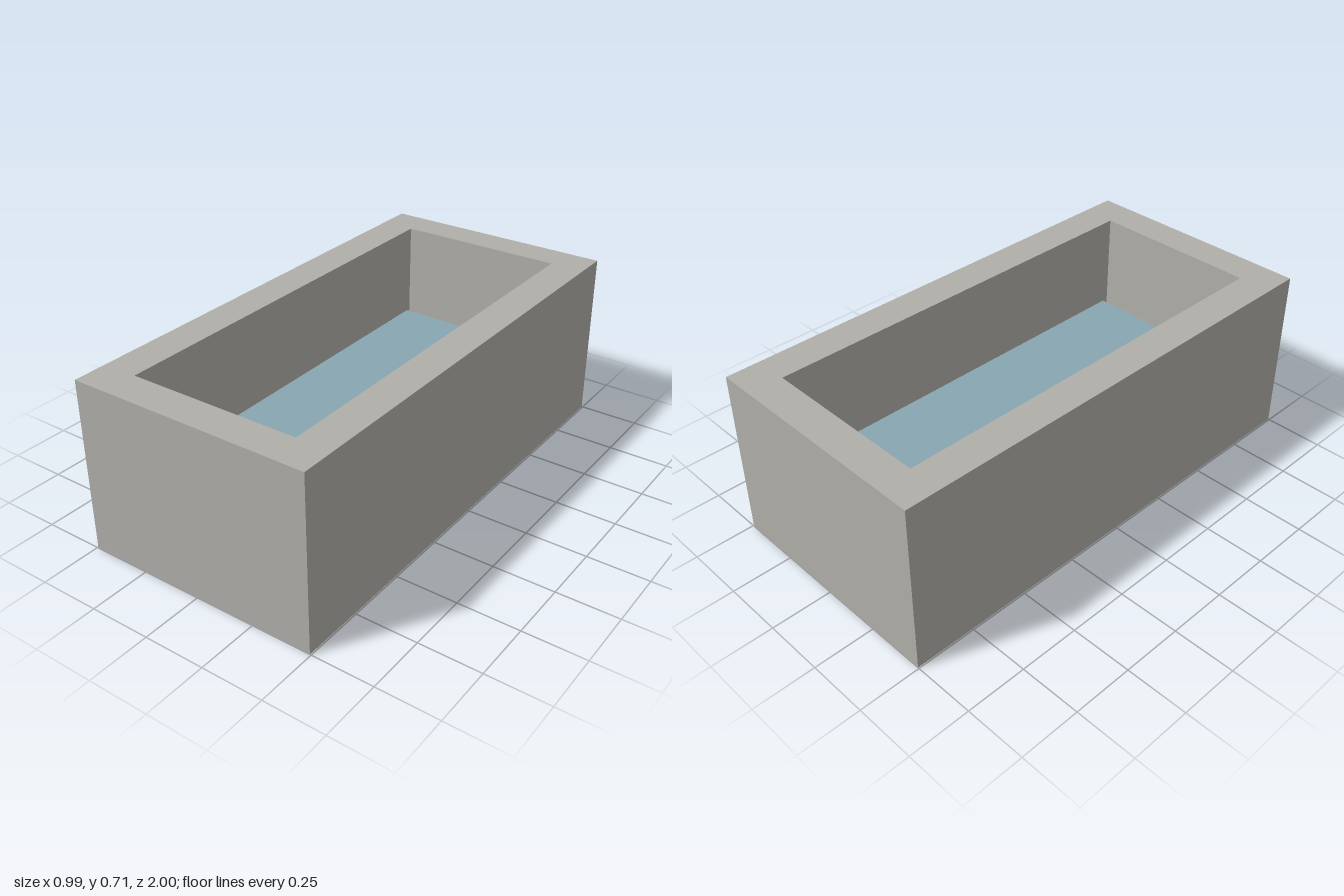
import * as THREE from 'three';

const WIDTH = 0.99, HEIGHT = 0.707, LENGTH = 2;
const OPEN_W = 0.704, OPEN_L = 1.72, FLOOR = 0.14;
const WATER_W = 0.684, WATER_L = 1.648, WATER_TOP = 0.32;

const stone = new THREE.MeshStandardMaterial({ color: 0xb0aea8 });
stone.name = 'stone';
const waterBlue = new THREE.MeshStandardMaterial({ color: 0x87a6b2 });
waterBlue.name = 'waterBlue';

// Rectangle outline centred on the origin
function rectangle(PathType, w, l) {
  const x = w / 2, y = l / 2;
  return new PathType([[-x, -y], [x, -y], [x, y], [-x, y]].map(p => new THREE.Vector2(...p)));
}

// Upright slab from a shape, spanning two heights
function slab(name, shape, bottom, top, material) {
  const geometry = new THREE.ExtrudeGeometry(shape, { depth: top - bottom, bevelEnabled: false });
  geometry.rotateX(-Math.PI / 2).translate(0, bottom, 0);
  const mesh = new THREE.Mesh(geometry, material);
  mesh.name = name;
  return mesh;
}

export function createModel() {
  const trough = new THREE.Group();
  trough.name = 'waterTrough';

  // Thick walls around the full-height rectangular opening
  const wallShape = rectangle(THREE.Shape, WIDTH, LENGTH);
  wallShape.holes.push(rectangle(THREE.Path, OPEN_W, OPEN_L));
  trough.add(slab('walls', wallShape, 0, HEIGHT, stone));

  // Basin floor closing the opening
  trough.add(slab('floor', rectangle(THREE.Shape, OPEN_W, OPEN_L), 0, FLOOR, stone));

  // Water, slightly smaller than the basin
  trough.add(slab('water', rectangle(THREE.Shape, WATER_W, WATER_L), FLOOR, WATER_TOP, waterBlue));

  return trough;
}
